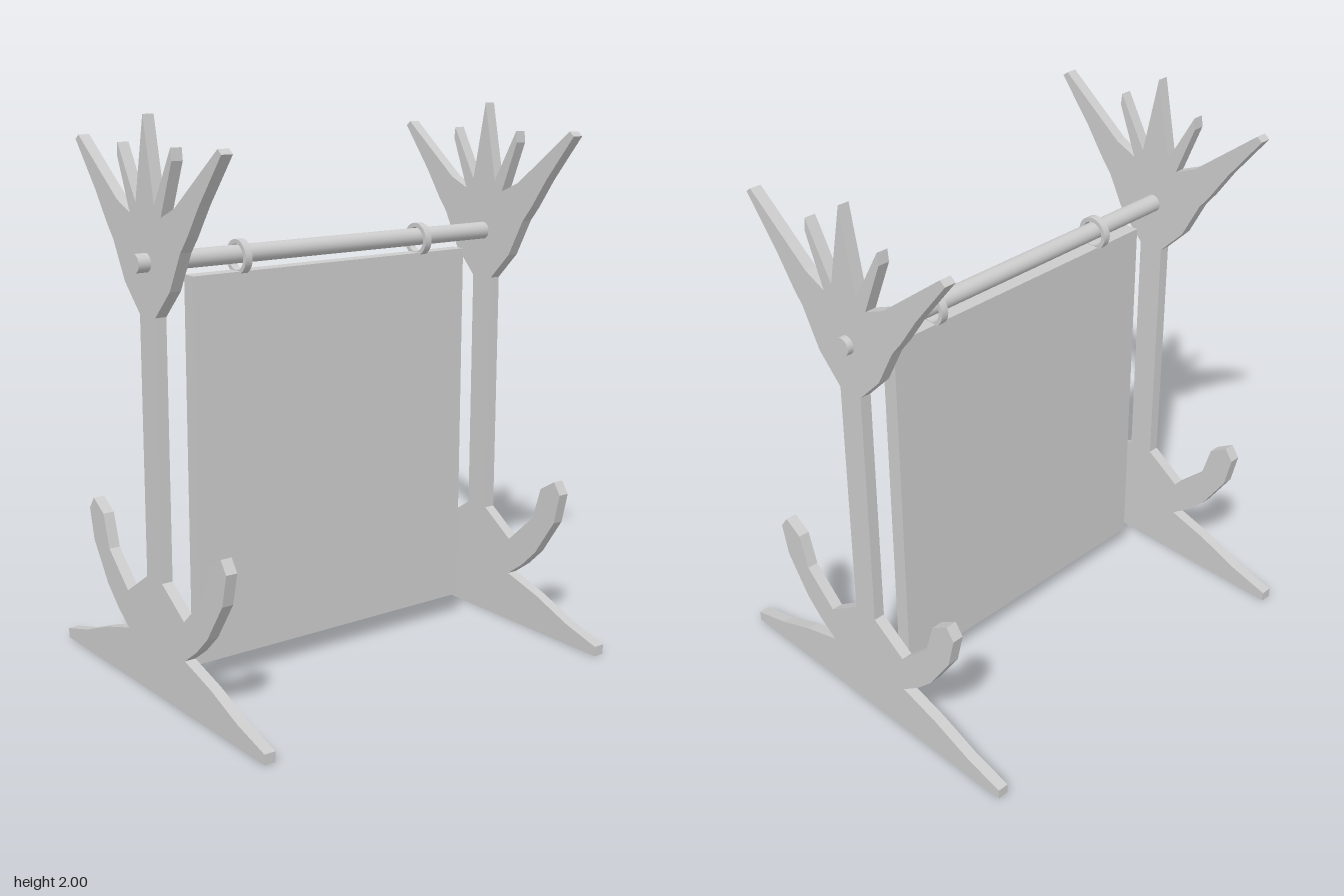
import * as THREE from 'three';

const material = new THREE.MeshStandardMaterial({ color: 0xcccccc, flatShading: true });
const smooth = new THREE.MeshStandardMaterial({ color: 0xcccccc });

// Half outline of an end support, from the foot up to the middle spike (+x side)
const halfOutline = [
  // foot
  [0.665, 0], [0.665, 0.037], [0.51, 0.08], [0.35, 0.143], [0.19, 0.19],
  // curled arm
  [0.265, 0.245], [0.335, 0.313], [0.43, 0.455], [0.457, 0.57], [0.425, 0.615],
  [0.355, 0.572], [0.318, 0.45], [0.19, 0.33],
  // post and head
  [0.05, 0.424], [0.05, 1.342], [0.146, 1.44], [0.217, 1.574], [0.26, 1.627], [0.334, 1.733],
  // spikes
  [0.466, 1.897], [0.445, 1.913], [0.185, 1.712], [0.1, 1.675],
  [0.175, 1.86], [0.17, 1.902], [0.06, 1.712], [0, 2],
];

const ROD_Y = 1.52;
const ROD_RADIUS = 0.032;

function circlePath(radius, x = 0, y = 0) {
  return new THREE.Path().absarc(x, y, radius, 0, Math.PI * 2, true);
}

function extrude(shape, depth) {
  const geometry = new THREE.ExtrudeGeometry(shape, { depth, bevelEnabled: false, curveSegments: 24 });
  return geometry.translate(0, 0, -depth / 2);
}

function addMesh(group, name, geometry, x, y, z, mat = material) {
  const mesh = new THREE.Mesh(geometry, mat);
  mesh.name = name;
  mesh.position.set(x, y, z);
  group.add(mesh);
}

export function createModel() {
  const group = new THREE.Group();
  group.name = 'hangingPanelStand';

  // End supports: mirrored outline with a hole for the rod
  const mirrored = halfOutline.slice(0, -1).reverse().map(([x, y]) => [-x, y]);
  const outline = [...halfOutline, ...mirrored].map(([x, y]) => new THREE.Vector2(x, y));
  const supportShape = new THREE.Shape(outline);
  supportShape.holes.push(circlePath(ROD_RADIUS, 0, ROD_Y));
  const supportGeometry = extrude(supportShape, 0.042);
  addMesh(group, 'frontSupport', supportGeometry, 0, 0, 0.728);
  addMesh(group, 'backSupport', supportGeometry, 0, 0, -0.75);

  // Rod running through both supports
  const rod = new THREE.CylinderGeometry(ROD_RADIUS, ROD_RADIUS, 1.59, 32).rotateX(Math.PI / 2);
  addMesh(group, 'rod', rod, 0, ROD_Y, 0, smooth);

  // Rings hanging on the rod
  const ringShape = new THREE.Shape().absarc(0, 0, 0.061, 0, Math.PI * 2, false);
  ringShape.holes.push(circlePath(0.045));
  const ringGeometry = extrude(ringShape, 0.028);
  addMesh(group, 'frontRing', ringGeometry, 0, 1.51, 0.385, smooth);
  addMesh(group, 'backRing', ringGeometry, 0, 1.51, -0.407, smooth);

  // Hanging panel
  addMesh(group, 'panel', new THREE.BoxGeometry(0.058, 1.378, 1.192), 0, 0.774, -0.008);

  return group;
}
